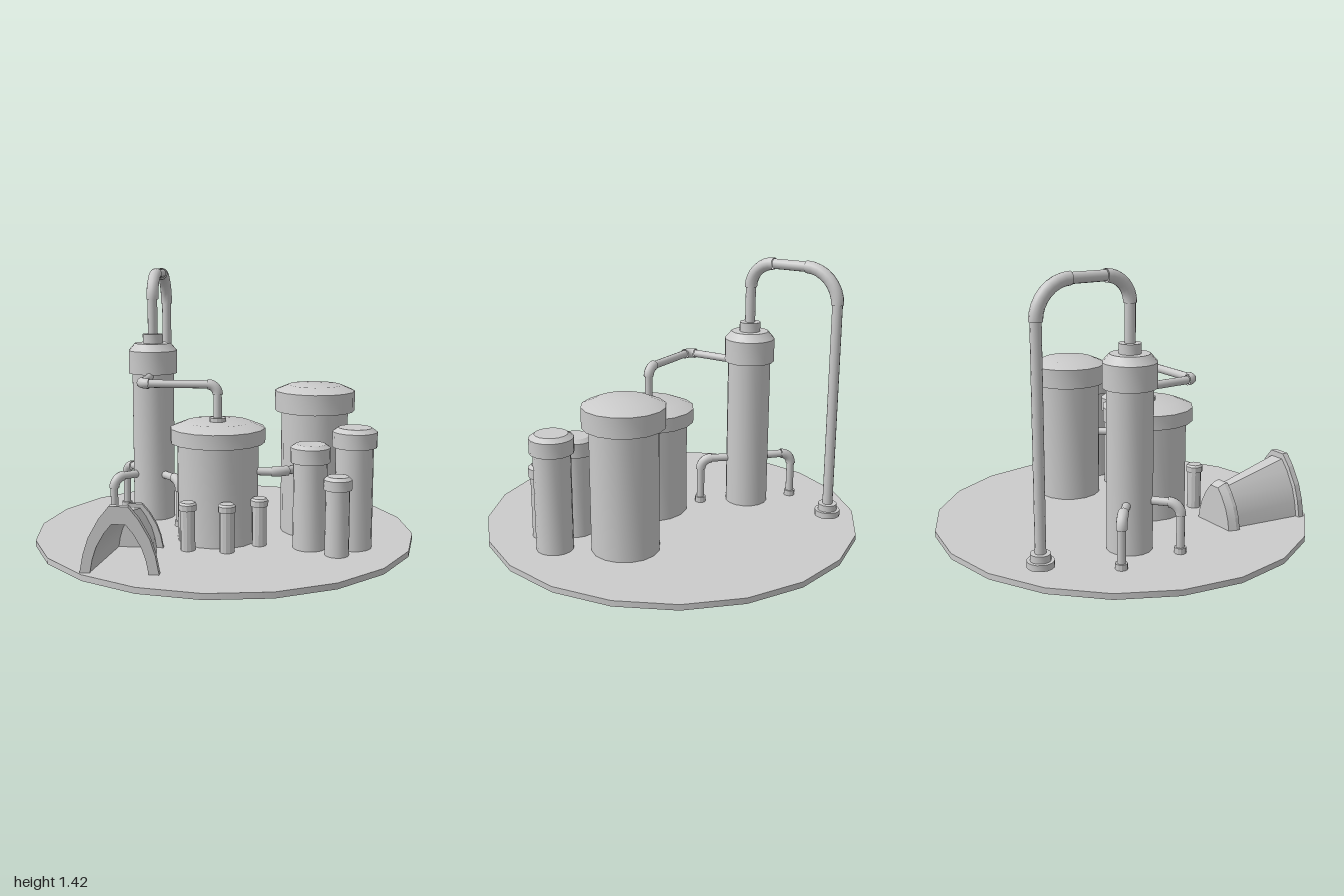
import * as THREE from 'three';
import { toCreasedNormals } from 'three/addons/utils/BufferGeometryUtils.js';

const material = new THREE.MeshStandardMaterial({ color: 0xcccccc });
const thin = new THREE.MeshStandardMaterial({ color: 0xcccccc, side: THREE.DoubleSide });
const FLOOR = 0.03;
const V = (x, y, z) => new THREE.Vector3(x, y, z);

function add(parent, name, geometry, mat = material) {
  const mesh = new THREE.Mesh(geometry, mat);
  mesh.name = name;
  parent.add(mesh);
  return mesh;
}

// Turned part from [radius, height] pairs, bottom to top
function turned(parent, name, x, z, profile, sides = 16) {
  const points = profile.map(([r, y]) => new THREE.Vector2(r, y));
  const geometry = toCreasedNormals(new THREE.LatheGeometry(points, sides), 0.42);
  const mesh = add(parent, name, geometry);
  mesh.position.set(x, 0, z);
  return mesh;
}

// Cylindrical tank with a wider, chamfered lid
function tank(parent, name, x, z, r, lidR, lidY, edgeY, topY, topR = lidR * 0.75, sides = 16) {
  return turned(parent, name, x, z, [
    [r, FLOOR], [r, lidY], [lidR, lidY], [lidR, edgeY], [topR, topY], [0, topY],
  ], sides);
}

// Straight pipe lengths joined by slightly thicker elbows
function pipe(parent, name, points, r, bends) {
  const group = new THREE.Group();
  group.name = name;
  parent.add(group);
  let start = points[0];
  for (let i = 1; i < points.length; i++) {
    const corner = points[i];
    const dirIn = corner.clone().sub(points[i - 1]).normalize();
    const last = i === points.length - 1;
    const bend = last ? 0 : bends[i - 1];
    const end = corner.clone().addScaledVector(dirIn, -bend);
    const length = start.distanceTo(end);
    const straight = add(group, 'straightPipe', new THREE.CylinderGeometry(r, r, length, 12));
    straight.position.copy(start).add(end).multiplyScalar(0.5);
    straight.quaternion.setFromUnitVectors(V(0, 1, 0), dirIn);
    if (last) break;
    const next = corner.clone().addScaledVector(points[i + 1].clone().sub(corner).normalize(), bend);
    const curve = new THREE.CubicBezierCurve3(
      end, end.clone().lerp(corner, 0.55), next.clone().lerp(corner, 0.55), next);
    add(group, 'elbow', new THREE.TubeGeometry(curve, 8, r + 0.006, 12), thin);
    start = next;
  }
  return group;
}

// Half-outline of the arched hut: fractions of half width and height
const ARCH = [[1, 0], [0.91, 0.28], [0.77, 0.53], [0.5, 0.81], [0.24, 1]];
function archPoints(w, h) {
  const right = ARCH.map(([u, v]) => new THREE.Vector2(u * w, v * h));
  const left = right.map(p => new THREE.Vector2(-p.x, p.y)).reverse();
  return [...right, ...left];
}

// Skin between two arches placed at different depths
function archLoft(w0, h0, z0, w1, h1, z1) {
  const a = archPoints(w0, h0), b = archPoints(w1, h1);
  const position = [], index = [];
  a.forEach((p, i) => {
    position.push(p.x, p.y, z0, b[i].x, b[i].y, z1);
    if (i) {
      const k = 2 * i;
      index.push(k - 2, k - 1, k, k, k - 1, k + 1);
    }
  });
  const geometry = new THREE.BufferGeometry();
  geometry.setAttribute('position', new THREE.Float32BufferAttribute(position, 3));
  geometry.setIndex(index);
  return toCreasedNormals(geometry, 0.5);
}

// Arched slab, optionally with an arched opening
function archSlab(w, h, z, depth, hole) {
  const outline = archPoints(w, h);
  if (hole) outline.push(...archPoints(...hole).reverse());
  return new THREE.ExtrudeGeometry(new THREE.Shape(outline), { depth, bevelEnabled: false }).translate(0, 0, z);
}

export function createModel() {
  const model = new THREE.Group();
  model.name = 'distillery';

  // Ground disc
  add(model, 'base', new THREE.CylinderGeometry(1, 1, FLOOR, 20)).position.y = FLOOR / 2;

  // Tanks
  tank(model, 'mainTank', -0.02, 0.16, 0.21, 0.245, 0.54, 0.615, 0.645, 0.17);
  tank(model, 'largeTank', 0.475, -0.04, 0.175, 0.21, 0.68, 0.785, 0.815, 0.14);
  tank(model, 'mediumTank', 0.457, 0.29, 0.085, 0.1, 0.47, 0.545, 0.562);
  tank(model, 'tallTank', 0.676, 0.255, 0.095, 0.112, 0.545, 0.622, 0.642);
  tank(model, 'smallTank', 0.592, 0.4, 0.06, 0.07, 0.36, 0.41, 0.425);
  for (const [x, z] of [[-0.147, 0.39], [0.05, 0.405], [0.203, 0.275]]) {
    tank(model, 'bollard', x, z, 0.037, 0.045, 0.235, 0.265, 0.275, 0.036, 12);
  }

  // Tower with its outlet collar
  const tx = -0.42, tz = -0.232;
  turned(model, 'tower', tx, tz, [
    [0.116, FLOOR], [0.116, 0.845], [0.135, 0.845], [0.135, 0.97], [0.1, 1.01],
    [0.056, 1.01], [0.056, 1.06], [0, 1.06],
  ]);

  // Tall overhead pipe and its foot
  pipe(model, 'overheadPipe', [
    V(tx, 1.05, tz), V(tx, 1.385, tz), V(tx, 1.385, -0.735), V(tx, 0.06, -0.735),
  ], 0.027, [0.135, 0.18]);
  turned(model, 'pipeFoot', tx, -0.735, [
    [0, 0.053], [0.067, 0.053], [0.067, 0.085], [0.05, 0.085], [0.05, 0.12], [0, 0.12],
  ]);

  // Pipe from the tower to the main tank
  pipe(model, 'feedPipe', [
    V(tx, 0.835, tz + 0.1), V(tx, 0.835, 0.16), V(-0.02, 0.835, 0.16), V(-0.02, 0.65, 0.16),
  ], 0.021, [0.045, 0.05]);
  turned(model, 'feedCollar', -0.02, 0.16, [[0.043, 0.64], [0.043, 0.665], [0, 0.665]], 12);

  // Pipe between the main and large tanks
  pipe(model, 'linkPipe', [
    V(0.17, 0.387, 0.163), V(0.305, 0.387, 0.163), V(0.41, 0.387, 0.058),
  ], 0.021, [0.045]);

  // Drain legs around the tower
  for (const [x, z] of [[-0.612, -0.41], [-0.615, -0.065], [-0.245, -0.035]]) {
    pipe(model, 'drainPipe', [V(tx, 0.285, tz), V(x, 0.285, z), V(x, FLOOR, z)], 0.021, [0.06]);
    turned(model, 'drainFoot', x, z, [[0.03, FLOOR], [0.03, 0.06], [0, 0.06]], 12);
  }

  // Arched, tapering hut: outer and inner skins, front frame, closed back
  const hut = new THREE.Group();
  hut.name = 'archedHut';
  hut.position.set(-0.415, FLOOR, 0);
  model.add(hut);
  add(hut, 'hutShell', archLoft(0.165, 0.292, 0.76, 0.105, 0.2, 0.36), thin);
  add(hut, 'hutLining', archLoft(0.138, 0.235, 0.76, 0.085, 0.17, 0.36), thin);
  add(hut, 'frontFrame', archSlab(0.187, 0.32, 0.75, 0.033, [0.138, 0.235]));
  add(hut, 'backRim', archSlab(0.14, 0.225, 0.35, 0.022));
  add(hut, 'backRimTaper', archLoft(0.14, 0.225, 0.35, 0.125, 0.208, 0.31), thin);
  add(hut, 'backWall', archSlab(0.125, 0.208, 0.31, 0.04));

  return model;
}
